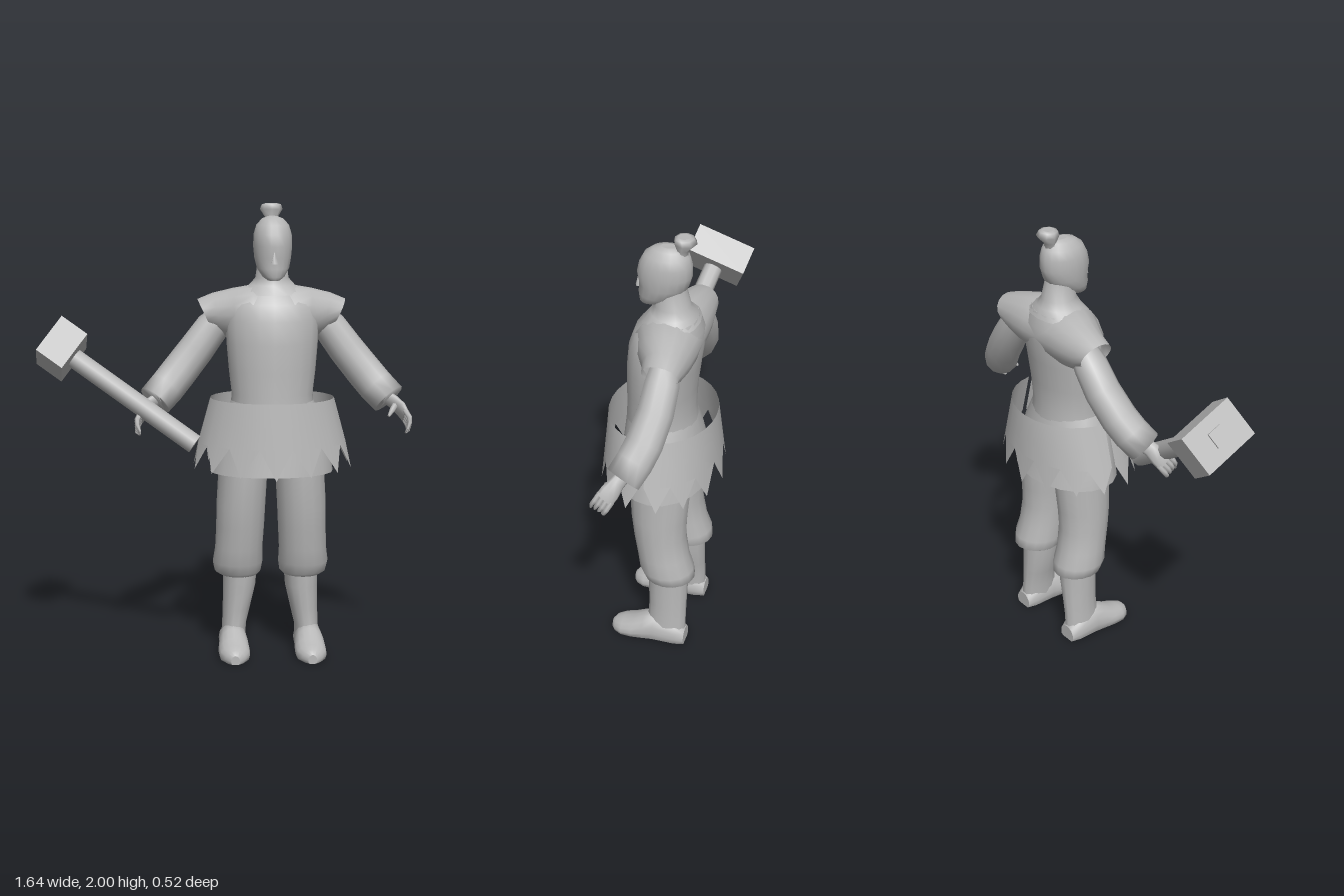
import * as THREE from 'three';

const CX = 0.215; // body centre line
const clay = new THREE.MeshStandardMaterial({ color: 0xb8b8b8, side: THREE.DoubleSide });
clay.name = 'clay grey';

// Smooth skin over rings { c: centre, a, b: half axes }, optional flat end caps
function loft(rings, n = 14, capStart = true, capEnd = true) {
  const pos = [], idx = [];
  const put = (r, j) => {
    const t = (j / n) * Math.PI * 2, c = Math.cos(t), s = Math.sin(t);
    const p = [0, 1, 2].map(k => r.c[k] + r.a[k] * c + r.b[k] * s);
    pos.push(p[0], Math.max(0, p[1]), p[2]);
  };
  rings.forEach(r => { for (let j = 0; j < n; j++) put(r, j); });
  for (let i = 0; i < rings.length - 1; i++) for (let j = 0; j < n; j++) {
    const a = i * n + j, b = i * n + (j + 1) % n;
    idx.push(a, a + n, b, b, a + n, b + n);
  }
  const cap = (r, flip) => {
    const o = pos.length / 3;
    for (let j = 0; j < n; j++) put(r, j);
    pos.push(r.c[0], Math.max(0, r.c[1]), r.c[2]);
    for (let j = 0; j < n; j++) {
      const a = o + j, b = o + (j + 1) % n;
      idx.push(o + n, flip ? b : a, flip ? a : b);
    }
  };
  if (capStart) cap(rings[0], false);
  if (capEnd) cap(rings[rings.length - 1], true);
  return geometry(pos, idx);
}

function geometry(pos, idx) {
  const g = new THREE.BufferGeometry();
  g.setAttribute('position', new THREE.Float32BufferAttribute(pos, 3));
  g.setIndex(idx);
  g.computeVertexNormals();
  return g;
}

// Horizontal ring: height, half width, front z, back z, centre x
const level = (y, rx, zf, zb, x = CX) =>
  ({ c: [x, y, (zf + zb) / 2], a: [rx, 0, 0], b: [0, 0, -(zf - zb) / 2] });

// Round tube of varying thickness along points [x, y, z, radius]
function limb(points, n = 12) {
  const v = points.map(p => new THREE.Vector3(p[0], p[1], p[2]));
  return loft(points.map((p, i) => {
    const d = v[Math.min(i + 1, v.length - 1)].clone().sub(v[Math.max(i - 1, 0)]).normalize();
    const b = new THREE.Vector3(0, 0, 1).addScaledVector(d, -d.z).normalize();
    const a = b.clone().cross(d);
    return { c: v[i].toArray(), a: a.multiplyScalar(p[3]).toArray(), b: b.multiplyScalar(p[3]).toArray() };
  }), n);
}

// Flared half skirt with a toothed hem
function skirtHalf(start) {
  const pos = [], idx = [], teeth = 7, cols = teeth * 2;
  for (let i = 0; i <= cols; i++) {
    const t = start + 0.04 + (i / cols) * (Math.PI - 0.08);
    const at = y => {
      const k = (1.16 - y) / 0.33;
      pos.push(CX + Math.cos(t) * (0.272 + 0.09 * k), y, 0.008 + Math.sin(t) * (0.232 + 0.03 * k));
    };
    at(1.16); at(1.06); at(0.965);
    at(i % 2 ? 0.83 + 0.025 * Math.abs(Math.cos(t)) : 0.964);
  }
  for (let i = 0; i < cols; i++) for (let r = 0; r < 3; r++) {
    const a = i * 4 + r, b = a + 4;
    idx.push(a, b, a + 1, b, b + 1, a + 1);
  }
  return geometry(pos, idx);
}

export function createModel() {
  const model = new THREE.Group();
  model.name = 'warriorWithHammer';
  const add = (name, geo, parent = model) => {
    const m = new THREE.Mesh(geo, clay);
    m.name = name;
    parent.add(m);
    return m;
  };

  // Torso and hips
  add('torso', loft([
    level(1.1, 0.185, 0.165, -0.14), level(1.18, 0.178, 0.16, -0.13), level(1.28, 0.19, 0.158, -0.135),
    level(1.4, 0.2, 0.155, -0.15), level(1.5, 0.205, 0.145, -0.165), level(1.57, 0.19, 0.12, -0.162),
    level(1.63, 0.13, 0.07, -0.14),
  ], 20));
  add('hips', loft([
    level(1.15, 0.18, 0.16, -0.13), level(1.05, 0.225, 0.17, -0.155),
    level(0.95, 0.255, 0.18, -0.175), level(0.83, 0.272, 0.195, -0.2),
  ], 20));

  // Shoulder yoke with open cap sleeves: offset x, top y, bottom y, front z, back z, end slant
  const yoke = [[0.295, 1.585, 1.46, 0.012, -0.145, 0.03], [0.24, 1.612, 1.43, 0.025, -0.152, 0.02],
    [0.17, 1.635, 1.41, 0.065, -0.16, 0], [0.09, 1.65, 1.4, 0.11, -0.165, 0]];
  const yokeRing = s => ([x, t, b, f, k, slant]) => ({
    c: [CX + s * x, (t + b) / 2, (f + k) / 2], a: [s * slant, (t - b) / 2, 0], b: [0, 0, (f - k) / 2],
  });
  add('shoulderYoke', loft([...yoke.map(yokeRing(-1)), ...yoke.map(yokeRing(1)).reverse()], 16, false, false));

  // Neck, head and topknot
  add('neck', loft([
    level(1.61, 0.16, 0.09, -0.15), level(1.65, 0.1, 0.06, -0.13), level(1.68, 0.073, 0.045, -0.11),
    level(1.76, 0.062, 0.04, -0.09),
  ], 16));
  add('head', loft([
    level(1.675, 0.025, 0.098, 0.04), level(1.69, 0.047, 0.107, 0), level(1.725, 0.07, 0.11, -0.06),
    level(1.77, 0.08, 0.107, -0.1), level(1.82, 0.085, 0.116, -0.115), level(1.87, 0.083, 0.105, -0.115),
    level(1.91, 0.071, 0.085, -0.105), level(1.937, 0.046, 0.05, -0.08), level(1.947, 0.02, 0.015, -0.05),
  ], 18));
  const nose = add('nose', new THREE.ConeGeometry(0.017, 0.055, 6));
  nose.scale.z = 0.8;
  nose.position.set(CX, 1.775, 0.111);
  add('topknot', loft([
    level(1.9, 0.03, -0.04, -0.095), level(1.94, 0.028, -0.05, -0.1), level(1.975, 0.05, -0.038, -0.135),
    level(1.995, 0.042, -0.042, -0.122), level(2, 0.026, -0.055, -0.108),
  ], 8));

  // Skirt panels
  add('frontSkirt', skirtHalf(0));
  add('backSkirt', skirtHalf(Math.PI));

  for (const [s, side] of [[1, 'left'], [-1, 'right']]) {
    const X = d => CX + s * d;
    const path = pts => pts.map(([d, ...rest]) => [X(d), ...rest]);

    // Sleeved arm
    add(side + 'Arm', limb(path([
      [0.2, 1.52, -0.065, 0.06], [0.26, 1.46, -0.065, 0.074], [0.33, 1.365, -0.058, 0.078],
      [0.41, 1.265, -0.035, 0.08], [0.46, 1.205, -0.01, 0.08], [0.513, 1.15, 0.022, 0.078], [0.505, 1.155, 0.02, 0.055],
    ])));

    // Hand: flat palm, four fingers and a thumb
    const hand = new THREE.Group();
    hand.name = side + 'Hand';
    model.add(hand);
    const palm = (d, y, z, w, t) => ({ c: [X(d), y, z], a: [s * t, t * 0.8, 0], b: [0, w * 0.65, w * 0.75] });
    add('palm', loft([
      palm(0.48, 1.17, 0.01, 0.03, 0.022), palm(0.53, 1.14, 0.04, 0.032, 0.02),
      palm(0.562, 1.11, 0.062, 0.042, 0.018), palm(0.58, 1.08, 0.082, 0.042, 0.013),
    ], 10), hand);
    for (let i = 0; i < 4; i++) {
      const o = (i - 1.5) * 0.021, y = o * 0.65, z = o * 0.75;
      add('finger', limb(path([
        [0.575, 1.09 + y, 0.075 + z, 0.012], [0.592, 1.06 + y, 0.093 + z, 0.012],
        [0.592, 1.04 + y, 0.106 + z, 0.01], [0.58, 1.02 + y * 0.5, 0.116 + z, 0.005],
      ]), 6), hand);
    }
    add('thumb', limb(path([
      [0.54, 1.13, 0.06, 0.014], [0.52, 1.11, 0.09, 0.013], [0.502, 1.085, 0.105, 0.006],
    ]), 6), hand);

    // Baggy trouser leg gathered above the boot
    add(side + 'Trouser', loft([
      level(0.9, 0.108, 0.12, -0.15, X(0.126)), level(0.8, 0.109, 0.12, -0.145, X(0.128)),
      level(0.68, 0.109, 0.112, -0.135, X(0.135)), level(0.58, 0.107, 0.1, -0.13, X(0.138)),
      level(0.48, 0.106, 0.083, -0.145, X(0.143)), level(0.41, 0.112, 0.072, -0.168, X(0.147)),
      level(0.365, 0.104, 0.052, -0.173, X(0.146)), level(0.352, 0.085, 0.04, -0.15, X(0.142)),
    ], 16));

    // Boot shaft and foot
    add(side + 'BootShaft', loft([
      level(0.4, 0.077, 0.04, -0.14, X(0.136)), level(0.3, 0.073, 0.038, -0.14, X(0.14)),
      level(0.2, 0.062, 0.032, -0.138, X(0.152)), level(0.12, 0.054, 0.035, -0.138, X(0.163)),
      level(0.02, 0.056, 0.05, -0.14, X(0.168)),
    ], 14));
    const foot = [[-0.14, 0.045, 0.07], [-0.1, 0.06, 0.11], [0, 0.062, 0.14], [0.05, 0.067, 0.12],
      [0.1, 0.07, 0.09], [0.15, 0.066, 0.072], [0.185, 0.045, 0.06], [0.202, 0.02, 0.04]];
    add(side + 'Foot', loft(foot.map(([z, w, h]) =>
      ({ c: [X(0.17), h * 0.35, z], a: [w, 0, 0], b: [0, h * 0.65, 0] })), 16));
  }

  // Hammer: shaft, block and the shaft end showing through
  const hammer = new THREE.Group();
  hammer.name = 'hammer';
  model.add(hammer);
  const butt = new THREE.Vector3(-0.13, 0.975, 0.142), centre = new THREE.Vector3(-0.702, 1.378, 0.025);
  const along = centre.clone().sub(butt), h = along.clone().normalize();
  const u = new THREE.Vector3(0.07, 0.33, 0.94).addScaledVector(h, -h.dot(new THREE.Vector3(0.07, 0.33, 0.94))).normalize();
  const basis = new THREE.Matrix4().makeBasis(h, u.clone().cross(h), u);
  hammer.quaternion.setFromRotationMatrix(basis);
  hammer.position.copy(centre);
  const handle = add('hammerHandle', new THREE.CylinderGeometry(0.043, 0.043, along.length(), 10), hammer);
  handle.rotation.z = -Math.PI / 2;
  handle.position.x = -along.length() / 2;
  add('hammerHead', new THREE.BoxGeometry(0.135, 0.185, 0.27), hammer);
  add('handleEnd', new THREE.BoxGeometry(0.03, 0.07, 0.07), hammer).position.x = 0.06;
  return model;
}
